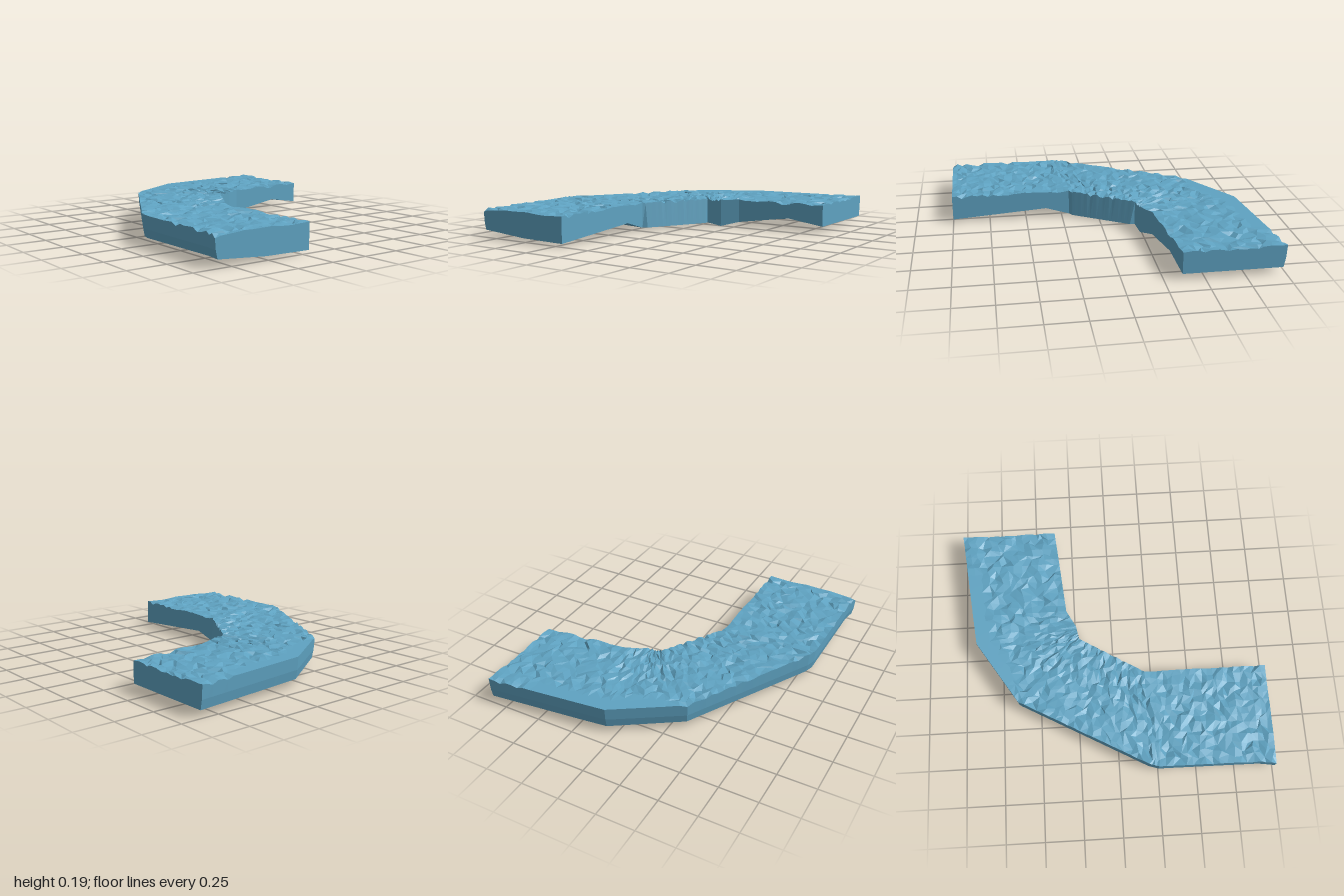
import * as THREE from 'three';

// Stations along the bend: outer x, z, bottom y | inner x, z, bottom y | bottom y in the middle
const stations = [
  [-0.86, 1.0, 0.05, -0.2, 1.0, 0.02, 0.025],
  [-0.845, 0.9, 0.05, -0.2, 0.9, 0.027, 0.027],
  [-0.84, 0.25, 0.045, -0.2, 0.36, 0.065, 0.04],
  [-0.82, 0.19, 0.045, -0.2, 0.2, 0.015, 0.03],
  [-0.36, -0.64, 0.045, 0.055, -0.22, 0.02, 0.03],
  [0.06, -0.91, 0.04, 0.15, -0.24, 0.0, 0.03],
  [0.26, -0.933, 0.04, 0.26, -0.3, 0.03, 0.035],
  [0.62, -0.973, 0.04, 0.62, -0.335, 0.08, 0.04],
  [0.86, -1.0, 0.04, 0.86, -0.36, 0.04, 0.04],
];
const ACROSS = 14;
const STEP = 0.046;

let seed = 7;
function random() {
  seed = (seed * 16807) % 2147483647;
  return seed / 2147483647;
}

// Station values at a fractional position along the bend
function sample(u) {
  const i = Math.min(Math.floor(u), stations.length - 2);
  return stations[i].map((a, k) => a + (stations[i + 1][k] - a) * (u - i));
}

function surfacePoint(u, v, y) {
  const s = sample(u);
  return [s[0] + (s[3] - s[0]) * v, y, s[1] + (s[4] - s[1]) * v];
}

// One closed ring: rippled top from outer to inner edge, then the underside and outer wall
function makeRing(u, jitterU) {
  const ring = [];
  for (let j = 0; j <= ACROSS; j++) {
    const edge = j === 0 || j === ACROSS;
    const calm = u > 4.2 && u < 7 && j < 3;
    const du = edge ? 0 : (random() - 0.5) * jitterU;
    const dv = edge ? 0 : (random() - 0.5) * 0.7 / ACROSS;
    const height = calm ? 0.182 : 0.164 + 0.026 * Math.sqrt(random());
    ring.push(surfacePoint(u + du, j / ACROSS + dv, height));
  }
  const s = sample(u);
  const flare = u > 3 && u < 4 ? 0.03 : 0;
  ring.push(surfacePoint(u, 1 + flare, s[5]));
  ring.push(surfacePoint(u, 0.52, s[6]));
  ring.push(surfacePoint(u, 0.025, s[2]));
  ring.push(surfacePoint(u, 0.008, 0.1));
  return ring;
}

function makeWaterGeometry() {
  const rings = [];
  for (let i = 0; i < stations.length - 1; i++) {
    const a = stations[i], b = stations[i + 1];
    const length = Math.max(Math.hypot(b[0] - a[0], b[1] - a[1]), Math.hypot(b[3] - a[3], b[4] - a[4]));
    const count = Math.ceil(length / STEP);
    for (let k = 0; k < count; k++) rings.push(makeRing(i + k / count, k ? 0.7 / count : 0));
  }
  rings.push(makeRing(stations.length - 1, 0));

  const positions = [];
  const triangle = (a, b, c) => positions.push(...a, ...b, ...c);
  const size = rings[0].length;

  // Skin between neighbouring rings, with mixed diagonals for a choppy top
  for (let i = 0; i < rings.length - 1; i++) {
    for (let j = 0; j < size; j++) {
      const n = (j + 1) % size;
      const a = rings[i][j], b = rings[i][n], c = rings[i + 1][j], d = rings[i + 1][n];
      if (j < ACROSS && random() < 0.5) {
        triangle(a, b, d);
        triangle(a, d, c);
      } else {
        triangle(a, b, c);
        triangle(b, d, c);
      }
    }
  }

  // Flat end caps
  const last = stations.length - 1;
  const firstCentre = surfacePoint(0, 0.5, 0.1);
  const lastCentre = surfacePoint(last, 0.5, 0.1);
  for (let j = 0; j < size; j++) {
    const n = (j + 1) % size;
    triangle(firstCentre, rings[0][n], rings[0][j]);
    triangle(lastCentre, rings[rings.length - 1][j], rings[rings.length - 1][n]);
  }

  // Unshared corners give faceted normals
  const geometry = new THREE.BufferGeometry();
  geometry.setAttribute('position', new THREE.Float32BufferAttribute(positions, 3));
  geometry.computeVertexNormals();
  return geometry;
}

export function createModel() {
  const group = new THREE.Group();
  group.name = 'riverBend';
  const water = new THREE.MeshStandardMaterial({ color: 0x5fa3c2 });
  water.name = 'water blue';
  const mesh = new THREE.Mesh(makeWaterGeometry(), water);
  mesh.name = 'waterSlab';
  group.add(mesh);
  return group;
}
